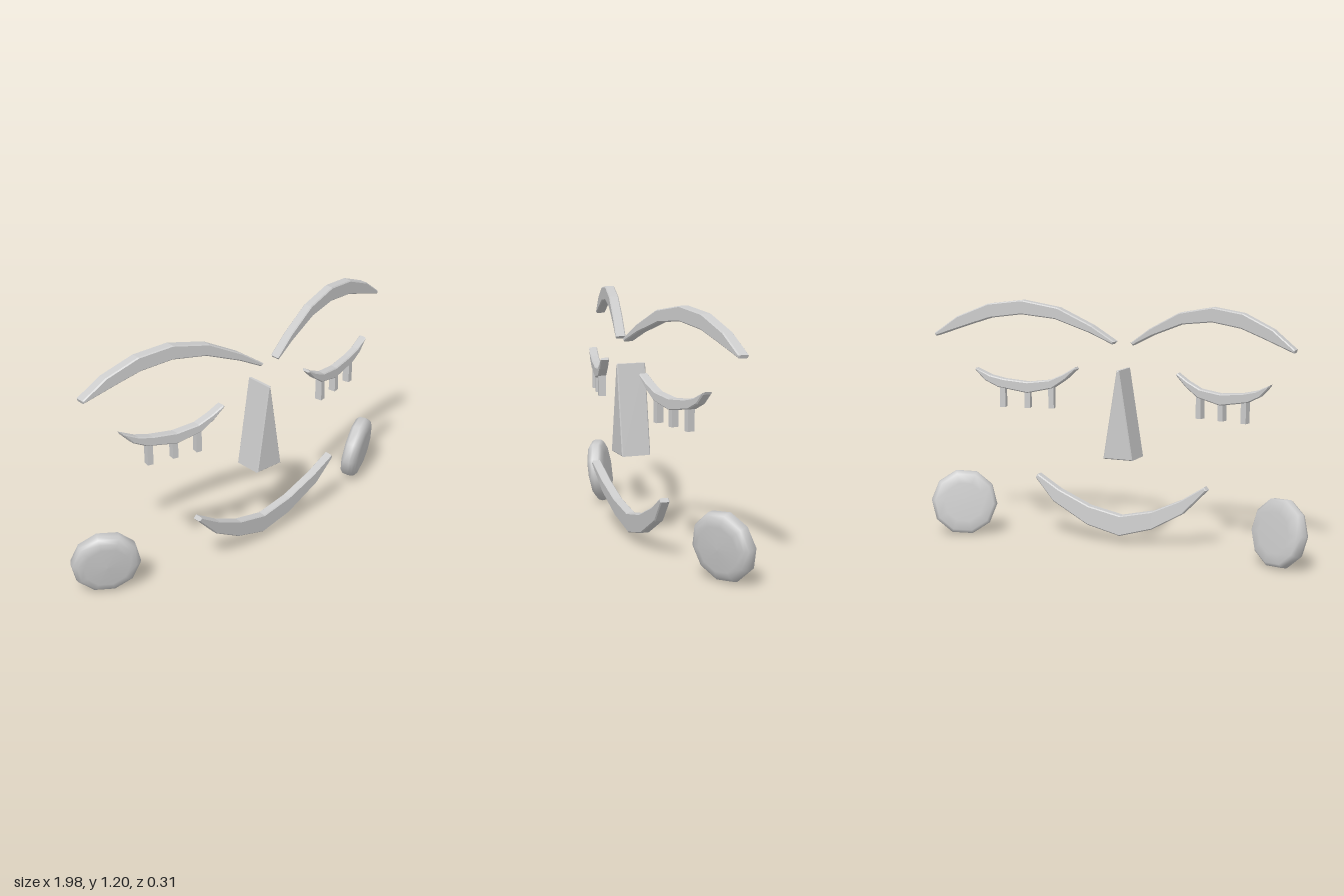
import * as THREE from 'three';

const material = new THREE.MeshStandardMaterial({ color: 0xcccccc });

// Curved bar: outline in x/y extruded with a small bevel, then laid on a slanted plane z = zAt(x, y)
function bar(name, outline, depth, zAt) {
  const bevel = 0.005;
  const shape = new THREE.Shape(outline.map(([x, y]) => new THREE.Vector2(x, y)));
  const geometry = new THREE.ExtrudeGeometry(shape, {
    depth: depth - 2 * bevel, bevelEnabled: true, bevelSegments: 1,
    bevelThickness: bevel, bevelSize: bevel, bevelOffset: -bevel,
  });
  geometry.translate(0, 0, bevel - depth / 2);
  const p = geometry.attributes.position;
  for (let i = 0; i < p.count; i++) p.setZ(i, p.getZ(i) + zAt(p.getX(i), p.getY(i)));
  geometry.computeVertexNormals();
  const mesh = new THREE.Mesh(geometry, material);
  mesh.name = name;
  return mesh;
}

// Outlines of the model's right side, relative to each pair's own mirror axis
const browAxis = 0.025, eyeAxis = 0.011;
const brow = [
  [-0.91, 1.03], [-0.795, 1.115], [-0.64, 1.18], [-0.475, 1.2], [-0.295, 1.165], [-0.13, 1.08], [-0.018, 1.003],
  [-0.03, 0.99], [-0.14, 1.045], [-0.31, 1.11], [-0.475, 1.13], [-0.63, 1.11], [-0.75, 1.07], [-0.905, 1.015],
];
const eyelid = [
  [-0.765, 0.85], [-0.69, 0.815], [-0.62, 0.798], [-0.5, 0.785], [-0.39, 0.798], [-0.32, 0.83], [-0.262, 0.866],
  [-0.255, 0.856], [-0.31, 0.803], [-0.375, 0.757], [-0.5, 0.73], [-0.65, 0.757], [-0.715, 0.79], [-0.76, 0.838],
];
const mouth = [
  [-0.405, 0.316], [-0.285, 0.24], [-0.14, 0.175], [0.025, 0.14], [0.195, 0.175], [0.36, 0.245], [0.48, 0.316],
  [0.492, 0.298], [0.39, 0.185], [0.2, 0.082], [0.025, 0.04], [-0.145, 0.088], [-0.3, 0.175], [-0.42, 0.3],
];

function cheek(name, side) {
  // Ten-sided disc: small bevel at the back, rounder edge and slight dome at the front
  const profile = [
    [0, -0.046], [0.1, -0.046], [0.148, -0.041], [0.164, -0.026], [0.167, 0.005],
    [0.16, 0.022], [0.14, 0.036], [0.11, 0.043], [0, 0.047],
  ].map(([r, y]) => new THREE.Vector2(r, y));
  const geometry = new THREE.LatheGeometry(profile, 10, Math.PI / 10);
  geometry.rotateX(Math.PI / 2);
  const mesh = new THREE.Mesh(geometry, material);
  mesh.name = name;
  mesh.position.set(side * 0.838, 0.165, -0.047);
  mesh.rotation.set(0.17, side * 0.49, 0);
  return mesh;
}

export function createModel() {
  const model = new THREE.Group();
  model.name = 'sleepingFace';

  for (const side of [-1, 1]) {
    const label = side < 0 ? 'right' : 'left';
    // Mirroring swaps between the two sides of a pair's axis
    const flip = (x, axis) => (side < 0 ? x : 2 * axis - x);
    const mirrored = (points, axis) => points.map(([x, y]) => [flip(x, axis), y]);

    // Eyebrow, sweeping back towards the temple
    model.add(bar(label + 'Eyebrow', mirrored(brow, browAxis), 0.05,
      (x) => 0.122 + 0.228 * (flip(x, browAxis) + 0.02)));

    // Closed eye with three lashes
    const eyeZ = (x) => 0.12 + 0.215 * (flip(x, eyeAxis) + 0.26);
    const eye = new THREE.Group();
    eye.name = label + 'Eye';
    eye.add(bar(label + 'Eyelid', mirrored(eyelid, eyeAxis), 0.045, eyeZ));
    for (const lashX of [-0.63, -0.505, -0.385]) {
      const lash = new THREE.Mesh(new THREE.BoxGeometry(0.028, 0.105, 0.036), material);
      lash.name = label + 'Eyelash';
      const x = flip(lashX, eyeAxis);
      lash.position.set(x, 0.7075, eyeZ(x));
      lash.rotation.y = side * 0.21;
      eye.add(lash);
    }
    model.add(eye);

    model.add(cheek(label + 'Cheek', side));
  }

  // Wedge nose, narrow at the top
  model.add(bar('nose', [[-0.065, 0.435], [0.09, 0.435], [0.019, 0.874], [0.006, 0.874]], 0.145, () => 0.083));

  // Smile, leaning slightly forward at the top
  model.add(bar('mouth', mouth, 0.046, (x, y) => 0.077 - 0.028 * x + 0.093 * y));

  return model;
}
